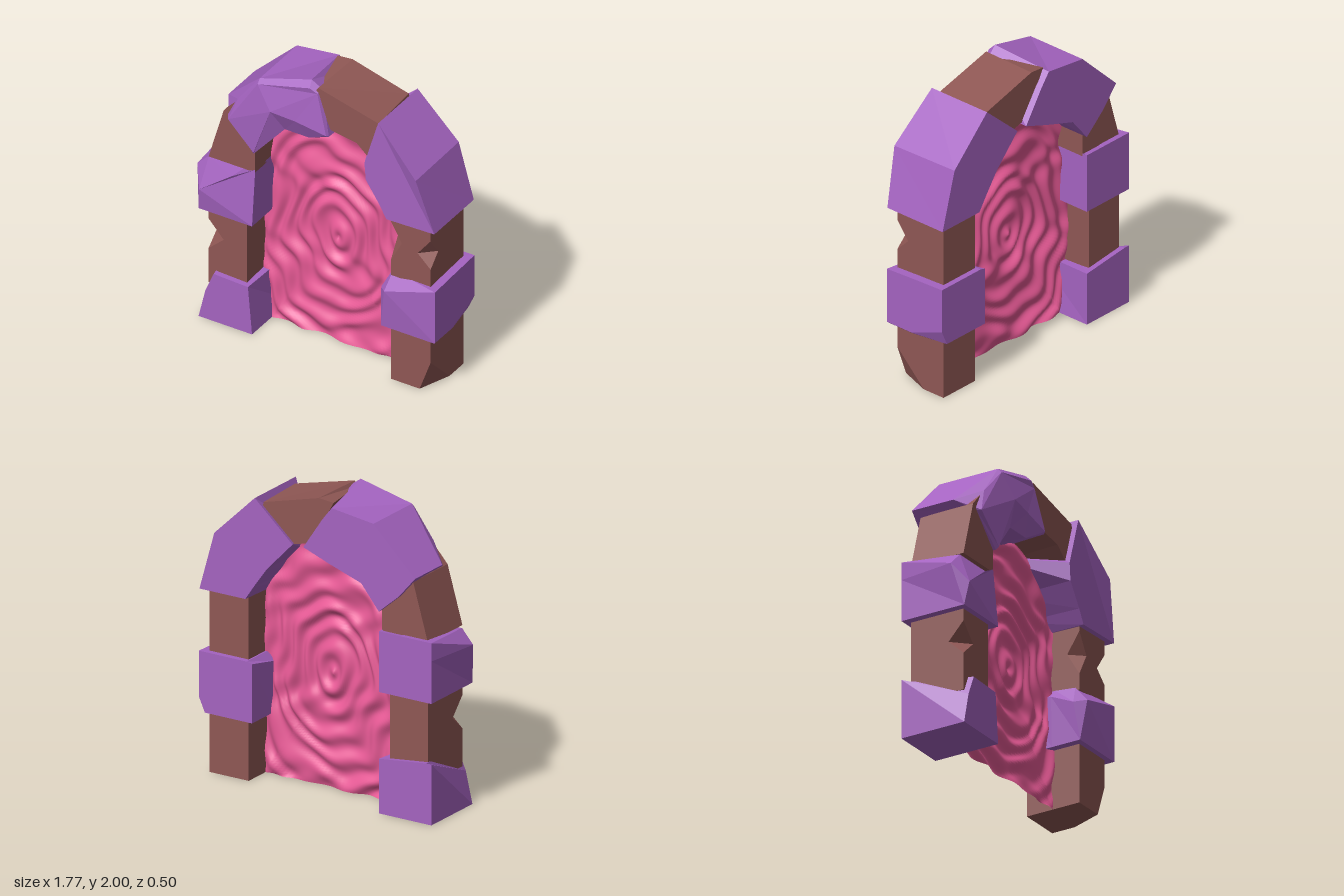
import * as THREE from 'three';
import { mergeVertices } from 'three/addons/utils/BufferGeometryUtils.js';

const purple = new THREE.MeshStandardMaterial({ color: 0xa463c0, flatShading: true });
const brown = new THREE.MeshStandardMaterial({ color: 0x8f5754, flatShading: true });
const pink = new THREE.MeshStandardMaterial({ color: 0xe85a96, side: THREE.DoubleSide });

// Rough stone: outlines of equal length lofted from back to front; a peak makes the front face a faceted bulge.
// Each ring is { z, pts: [[x, y, own z], ...] }
function stone(name, material, rings, peak) {
  const n = rings[0].pts.length;
  const loops = rings.map(({ z, pts }) => pts.map(p => new THREE.Vector3(p[0], p[1], p[2] ?? z)));
  if (THREE.ShapeUtils.area(loops[0]) < 0) loops.forEach(l => l.reverse());
  const pos = [];
  const tri = (...corners) => corners.forEach(v => pos.push(v.x, v.y, v.z));
  for (let k = 0; k + 1 < loops.length; k++) {
    for (let i = 0; i < n; i++) {
      const j = (i + 1) % n, a = loops[k], b = loops[k + 1];
      tri(a[i], a[j], b[j]);
      tri(a[i], b[j], b[i]);
    }
  }
  const cap = (loop, flip) => {
    const flat = loop.map(v => new THREE.Vector2(v.x, v.y));
    for (const [a, b, c] of THREE.ShapeUtils.triangulateShape(flat, [])) {
      if (flip) tri(loop[a], loop[c], loop[b]);
      else tri(loop[a], loop[b], loop[c]);
    }
  };
  const front = loops[loops.length - 1];
  cap(loops[0], true);
  if (peak) {
    const p = new THREE.Vector3(...peak);
    front.forEach((v, i) => tri(v, front[(i + 1) % n], p));
  } else cap(front, false);
  const geo = new THREE.BufferGeometry();
  geo.setAttribute('position', new THREE.Float32BufferAttribute(pos, 3));
  geo.computeVertexNormals();
  const mesh = new THREE.Mesh(geo, material);
  mesh.name = name;
  return mesh;
}

// Depth of the two kinds of stone
const PB = -0.253, PF = 0.207, BB = -0.215, BF = 0.17;

// Rippled sheet filling the archway
function portal() {
  const arch = new THREE.CatmullRomCurve3([
    [0.55, 0], [0.55, 0.45], [0.57, 0.9], [0.56, 1.18], [0.43, 1.45], [0.26, 1.62], [0.12, 1.66],
    [-0.06, 1.57], [-0.27, 1.54], [-0.45, 1.37], [-0.48, 1.15], [-0.5, 0.9], [-0.52, 0.6], [-0.5, 0.3], [-0.45, 0],
  ].map(([x, y]) => new THREE.Vector3(x, y, 0)));
  const cx = 0.03, cy = 0.76;
  const geo = new THREE.PlaneGeometry(1, 1, 180, 56);
  const p = geo.attributes.position;
  for (let i = 0; i < p.count; i++) {
    const u = p.getX(i) + 0.5, t = p.getY(i) + 0.5;
    const edge = u < 0.8 ? arch.getPointAt(u / 0.8)
      : new THREE.Vector3(THREE.MathUtils.lerp(-0.45, 0.55, (u - 0.8) / 0.2), 0, 0);
    const x = cx + (edge.x - cx) * t, y = Math.max(0, cy + (edge.y - cy) * t);
    const wobble = 1.2 * Math.sin(8 * x + 5 * y) + Math.sin(11 * y - 7 * x + 1) + 0.8 * Math.sin(17 * x - 13 * y);
    const r = Math.hypot((x - cx) / 0.72, y - cy);
    const z = 0.013 * Math.sin(40 * r + wobble) + 0.007 * Math.sin(19 * x + 13 * y + 2 * Math.sin(11 * y));
    p.setXYZ(i, x, y, -0.03 + z);
  }
  geo.deleteAttribute('uv');
  geo.deleteAttribute('normal');
  const merged = mergeVertices(geo, 1e-5);
  merged.computeVertexNormals();
  const mesh = new THREE.Mesh(merged, pink);
  mesh.name = 'portalSurface';
  return mesh;
}

export function createModel() {
  const group = new THREE.Group();
  group.name = 'stonePortal';

  // Right pillar (-x)
  group.add(stone('rightBaseStone', purple, [
    { z: PB, pts: [[-0.84, 0], [-0.45, 0], [-0.45, 0.36], [-0.8, 0.4], [-0.84, 0.4]] },
    { z: PF, pts: [[-0.84, 0], [-0.45, 0], [-0.48, 0.34], [-0.73, 0.35], [-0.79, 0.21]] },
  ]));
  // The chipped corner closes to one point on the middle ring
  const plain = [[-0.79, 0.25], [-0.51, 0.25], [-0.51, 0.8], [-0.79, 0.8], [-0.79, 0.6], [-0.79, 0.6], [-0.79, 0.6]];
  group.add(stone('rightLowerBrownStone', brown, [
    { z: BB, pts: plain },
    { z: 0.06, pts: plain },
    { z: BF, pts: [...plain.slice(0, 4), [-0.79, 0.72], [-0.68, 0.6], [-0.79, 0.5]] },
  ]));
  group.add(stone('rightMiddleStone', purple, [
    { z: PB, pts: [[-0.84, 0.8], [-0.45, 0.8], [-0.45, 1.2], [-0.6, 1.2], [-0.84, 1.2], [-0.84, 1.08]] },
    { z: PF, pts: [[-0.84, 0.8], [-0.45, 0.8], [-0.45, 1.2, 0.17], [-0.6, 1.12], [-0.8, 1.17, 0.15], [-0.89, 1.08, 0.14]] },
  ], [-0.82, 0.96, 0.233]));
  const upper = [[-0.79, 1.18], [-0.45, 1.18], [-0.45, 1.36], [-0.58, 1.67], [-0.68, 1.56]];
  group.add(stone('rightUpperBrownStone', brown, [{ z: BB, pts: upper }, { z: BF, pts: upper }]));

  // Left pillar (+x)
  const base = [[0.54, 0], [0.83, 0], [0.83, 0], [0.83, 0.43], [0.54, 0.43]];
  group.add(stone('leftBaseBrownStone', brown, [
    { z: BB, pts: base },
    { z: -0.05, pts: base },
    { z: BF, pts: [[0.54, 0], [0.75, 0], [0.83, 0.22], [0.83, 0.43], [0.54, 0.43]] },
  ]));
  group.add(stone('leftLowerStone', purple, [
    { z: PB, pts: [[0.49, 0.4], [0.84, 0.4], [0.885, 0.5], [0.885, 0.8], [0.53, 0.8], [0.49, 0.79]] },
    { z: 0, pts: [[0.49, 0.4], [0.88, 0.4], [0.885, 0.405], [0.885, 0.79], [0.53, 0.8], [0.48, 0.74]] },
    { z: PF, pts: [[0.49, 0.4], [0.88, 0.4], [0.885, 0.405], [0.885, 0.78], [0.54, 0.79, 0.14], [0.47, 0.66, 0.17]] },
  ], [0.53, 0.68, 0.235]));
  const block = [[0.54, 0.77], [0.83, 0.77], [0.83, 1], [0.83, 1], [0.83, 1], [0.83, 1.22],
    [0.54, 1.22], [0.54, 1.03], [0.54, 1.03], [0.54, 1.03]];
  const chips = { 2: [0.83, 0.91], 3: [0.735, 1], 4: [0.83, 1.12], 7: [0.54, 1.17], 8: [0.62, 1.03], 9: [0.54, 0.88] };
  group.add(stone('leftMiddleBrownStone', brown, [
    { z: BB, pts: block },
    { z: 0.08, pts: block },
    { z: BF, pts: block.map((q, i) => chips[i] ?? q) },
  ]));

  // Arch stones
  group.add(stone('leftArchStone', purple, [
    { z: PB, pts: [[0.19, 1.64], [0.47, 1.89], [0.77, 1.6], [0.88, 1.21], [0.54, 1.21], [0.48, 1.3], [0.38, 1.44]] },
    { z: PF, pts: [[0.37, 1.56], [0.47, 1.89], [0.77, 1.59, 0.248], [0.88, 1.21], [0.53, 1.2], [0.48, 1.29], [0.38, 1.44]] },
  ]));
  group.add(stone('rightArchStone', purple, [
    { z: PB, pts: [[-0.72, 1.6], [-0.41, 1.9], [-0.1, 1.94], [-0.03, 1.85], [0.11, 1.64],
      [-0.08, 1.57], [-0.32, 1.49], [-0.45, 1.33], [-0.6, 1.46]] },
    { z: PF, pts: [[-0.72, 1.6, 0.05], [-0.41, 1.9, 0.18], [-0.05, 2, 0.15], [0.02, 1.95, 0.14], [0.1, 1.65, 0.19],
      [-0.06, 1.57, 0.16], [-0.24, 1.57, 0.16], [-0.45, 1.33, 0.19], [-0.64, 1.53, 0.17]] },
    { z: PF, pts: [[-0.57, 1.69, 0.18], [-0.41, 1.87], [-0.04, 1.96, 0.19], [0.01, 1.93, 0.18], [0.09, 1.66],
      [-0.13, 1.7, 0.22], [-0.3, 1.72, 0.237], [-0.44, 1.35], [-0.63, 1.53, 0.2]] },
  ]));
  group.add(stone('keystone', brown, [
    { z: BB, pts: [[-0.09, 1.96], [0.02, 1.97], [0.43, 1.86], [0.44, 1.8], [0.36, 1.6], [0.24, 1.62], [0.08, 1.66]] },
    { z: BF, pts: [[-0.01, 1.94], [0.01, 1.97], [0.45, 1.86], [0.46, 1.8], [0.38, 1.58], [0.29, 1.66], [0.1, 1.69]] },
  ]));

  group.add(portal());
  return group;
}
